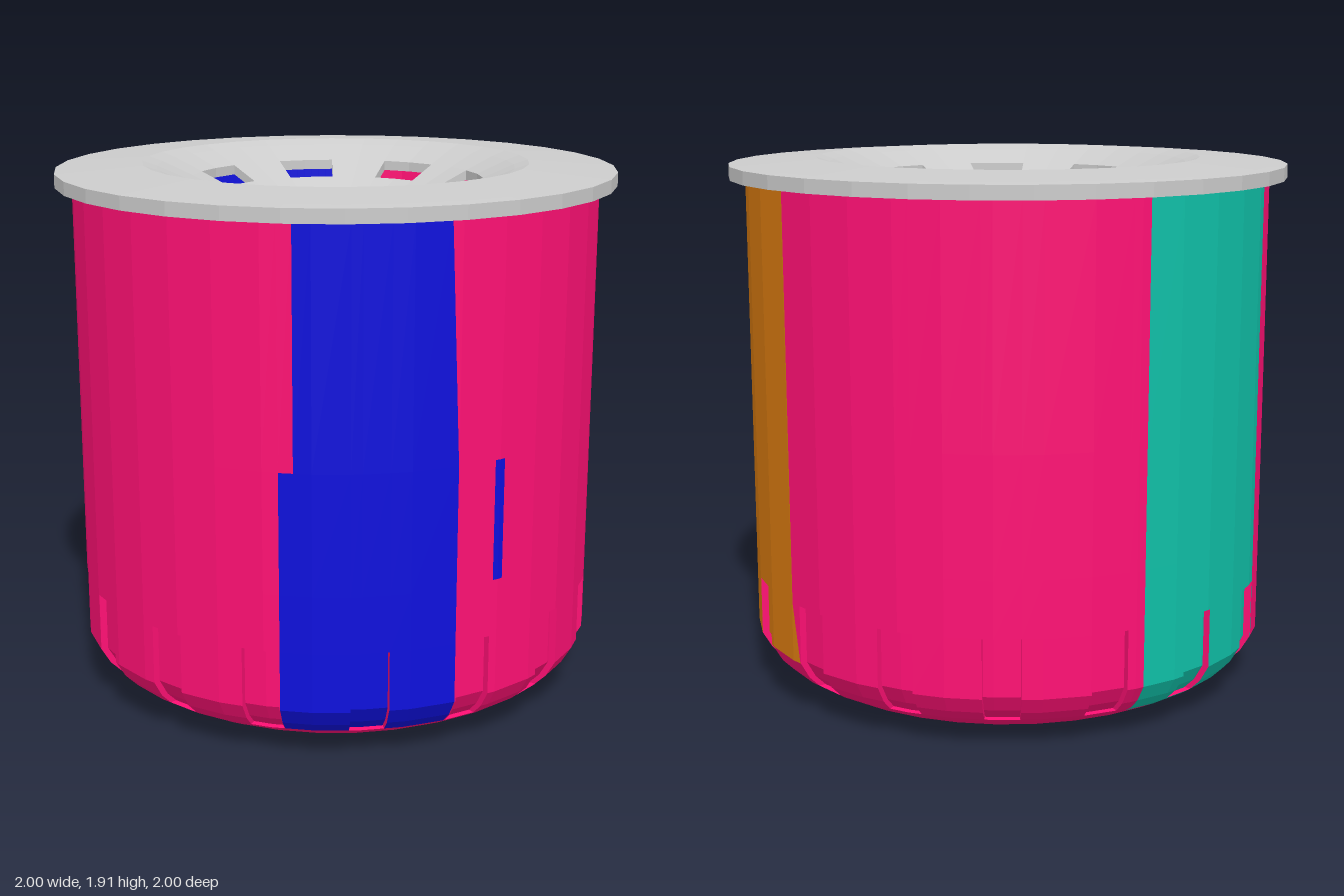
import * as THREE from 'three';

const PINK = 0xff1074, BLUE = 0x0e10dc, TEAL = 0x10c0a8, ORANGE = 0xd87a10, YELLOW = 0xf0d020, GREY = 0xcccccc;
const RAD = Math.PI / 180;

// Point at radius r, angle a (degrees from +z towards +x), height y
const P = (r, a, y) => [r * Math.sin(a * RAD), y, r * Math.cos(a * RAD)];

const material = (color) => new THREE.MeshStandardMaterial({ color, flatShading: true, side: THREE.DoubleSide });

function mesh(name, geometry, color) {
  const m = new THREE.Mesh(geometry, material(color));
  m.name = name;
  return m;
}

// Collects quads (counter-clockwise from outside)
class Skin {
  constructor() { this.points = []; }
  quad(a, b, c, d) { this.points.push(...a, ...b, ...c, ...a, ...c, ...d); }
  toMesh(name, color) {
    const g = new THREE.BufferGeometry();
    g.setAttribute('position', new THREE.Float32BufferAttribute(this.points, 3));
    g.computeVertexNormals();
    return mesh(name, g, color);
  }
}

const SIDES = 36, GROOVES = 16, GROOVE_HALF = 4, GROOVE_FIRST = -5.8, GROOVE_DEPTH = 0.025;

// Radius of a regular polygon at any angle
function facetRadius(r, a) {
  const step = 360 / SIDES, local = a - (Math.floor(a / step) + 0.5) * step;
  return r * Math.cos(step / 2 * RAD) / Math.cos(local * RAD);
}

function isGroove(a, y) {
  const step = 360 / GROOVES;
  const d = (((a - GROOVE_FIRST + step / 2) % step) + step) % step - step / 2;
  return Math.abs(d) < GROOVE_HALF && y > 0.1 && y < 0.41;
}

// Coloured panels of the canister
function panelColor(a, y) {
  if (y > 0.1 && a > (y < 1.03 ? 43.3 : 46.3) && a < 79) return BLUE;
  if (a > 88.8 && a < 91.2 && y > 0.61 && y < 1.03) return BLUE;
  if (y > 0.2 && a > (y < 0.41 ? 147.7 : 147) && a < 190.2) return ORANGE;
  if (y > 0.08 && a > 272 && a < 313.7) return TEAL;
  return PINK;
}

function makeCanister() {
  const group = new THREE.Group();
  group.name = 'canister';
  const rows = [[0, 0.55], [0.02, 0.68], [0.045, 0.77], [0.08, 0.835], [0.1, 0.865], [0.14, 0.905],
    [0.2, 0.94], [0.41, 0.94], [0.61, 0.94], [1.03, 0.94], [1.845, 0.94]];
  // Vertical cuts: facets, groove edges and panel edges
  const cuts = [43.3, 46.3, 79, 88.8, 91.2, 147, 190.2, 272, 313.7];
  for (let i = 0; i < SIDES; i++) cuts.push(i * 360 / SIDES);
  for (let i = 0; i < GROOVES; i++) {
    for (const s of [-1, 1]) cuts.push((GROOVE_FIRST + i * 360 / GROOVES + s * GROOVE_HALF + 360) % 360);
  }
  cuts.sort((p, q) => p - q);
  cuts.push(360);

  // Two panel edges lean with height
  const lean = (a, y) => {
    if (a === 79) return y > 1.1 ? 77.7 : 79.9;
    if (a === 190.2) return y < 0.4 ? 192.5 : 190.2;
    return a;
  };
  const skins = new Map([PINK, BLUE, ORANGE, TEAL].map((c) => [c, new Skin()]));
  const grooveSides = new Skin();
  for (let i = 0; i + 1 < cuts.length; i++) {
    const mid = (cuts[i] + cuts[i + 1]) / 2;
    for (let j = 0; j + 1 < rows.length; j++) {
      const [y0, r0] = rows[j], [y1, r1] = rows[j + 1], ym = (y0 + y1) / 2;
      const at = (a, y, r, inset) => {
        const b = lean(a, y);
        return P(facetRadius(r, b) - inset, b, y);
      };
      const groove = isGroove(mid, ym), inset = groove ? GROOVE_DEPTH : 0;
      const a = cuts[i], b = cuts[i + 1];
      skins.get(panelColor(mid, ym)).quad(at(a, y0, r0, inset), at(b, y0, r0, inset), at(b, y1, r1, inset), at(a, y1, r1, inset));
      if (!groove) continue;
      // Side and end faces of the groove
      if (!isGroove(a - 0.01, ym)) grooveSides.quad(at(a, y0, r0, 0), at(a, y0, r0, inset), at(a, y1, r1, inset), at(a, y1, r1, 0));
      if (!isGroove(b + 0.01, ym)) grooveSides.quad(at(b, y0, r0, inset), at(b, y0, r0, 0), at(b, y1, r1, 0), at(b, y1, r1, inset));
      if (y0 === 0.1) grooveSides.quad(at(a, y0, r0, 0), at(b, y0, r0, 0), at(b, y0, r0, inset), at(a, y0, r0, inset));
      if (y1 === 0.41) grooveSides.quad(at(a, y1, r1, inset), at(b, y1, r1, inset), at(b, y1, r1, 0), at(a, y1, r1, 0));
    }
  }
  const names = { [PINK]: 'canisterWall', [BLUE]: 'bluePanels', [ORANGE]: 'orangePanel', [TEAL]: 'tealPanel' };
  for (const [color, skin] of skins) group.add(skin.toMesh(names[color], color));
  group.add(grooveSides.toMesh('grooveSides', PINK));
  group.add(mesh('canisterBase', new THREE.CircleGeometry(0.55, SIDES).rotateX(Math.PI / 2), PINK));

  // Inner lining and floor
  const lining = (name, from, to, color) => {
    const g = new THREE.CylinderGeometry(0.89, 0.8, 1.745, 24, 1, true, from * RAD, (to - from) * RAD);
    group.add(mesh(name, g.translate(0, 0.9725, 0), color));
  };
  lining('blueLining', 230, 275, BLUE);
  lining('lining', 275, 590, PINK);
  group.add(mesh('canisterFloor', new THREE.CircleGeometry(0.8, SIDES).rotateX(-Math.PI / 2).translate(0, 0.1, 0), PINK));
  return group;
}

// Dished lid with a ring of eight slots and a central tube
function makeLid() {
  const profile = [[0.94, 1.845], [1, 1.845], [1, 1.893], [0.95, 1.897], [0.69, 1.915], [0.64, 1.898], [0.53, 1.85],
    [0.42, 1.8], [0.33, 1.76], [0.243, 1.72], [0.238, 1.55], [0.255, 1.55], [0.262, 1.69], [0.33, 1.725],
    [0.42, 1.765], [0.53, 1.815], [0.64, 1.85], [0.94, 1.845]];
  const TOP = 6, UNDER = 14, step = 360 / 32;
  const skin = new Skin();
  const at = (j, a) => P(profile[j][0], a, profile[j][1]);
  for (let i = 0; i < 32; i++) {
    const a = i * step, b = a + step;
    const slot = i % 4 === 1 || i % 4 === 2;
    for (let j = 0; j + 1 < profile.length; j++) {
      if (slot && (j === TOP || j === UNDER)) continue;
      skin.quad(at(j, a), at(j, b), at(j + 1, b), at(j + 1, a));
    }
    if (!slot) continue;
    // Walls through the thickness of the slot
    skin.quad(at(UNDER + 1, b), at(UNDER + 1, a), at(TOP, a), at(TOP, b));
    skin.quad(at(UNDER, a), at(UNDER, b), at(TOP + 1, b), at(TOP + 1, a));
    if (i % 4 === 1) skin.quad(at(UNDER + 1, a), at(UNDER, a), at(TOP + 1, a), at(TOP, a));
    else skin.quad(at(UNDER, b), at(UNDER + 1, b), at(TOP, b), at(TOP + 1, b));
  }
  return skin.toMesh('lid', GREY);
}

// Pleated cartridge under the lid
function makeCartridge() {
  const group = new THREE.Group();
  group.name = 'cartridge';
  const pleats = new Skin(), count = 96;
  for (let i = 0; i < count; i++) {
    const a = i * 360 / count, b = a + 360 / count;
    const r0 = i % 2 ? 0.7 : 0.27, r1 = i % 2 ? 0.27 : 0.7;
    pleats.quad(P(r0, a, 0.14), P(r1, b, 0.14), P(r1, b, 1.45), P(r0, a, 1.45));
  }
  group.add(pleats.toMesh('pleats', YELLOW));
  for (const [name, y] of [['topCap', 1.45], ['bottomCap', 0.1]]) {
    const ring = [[0.26, y], [0.72, y], [0.72, y + 0.04], [0.26, y + 0.04], [0.26, y]].map(([r, h]) => new THREE.Vector2(r, h));
    group.add(mesh(name, new THREE.LatheGeometry(ring, 32), ORANGE));
  }
  return group;
}

export function createModel() {
  const model = new THREE.Group();
  model.name = 'filterCanister';
  model.add(makeCanister(), makeLid(), makeCartridge());
  return model;
}
